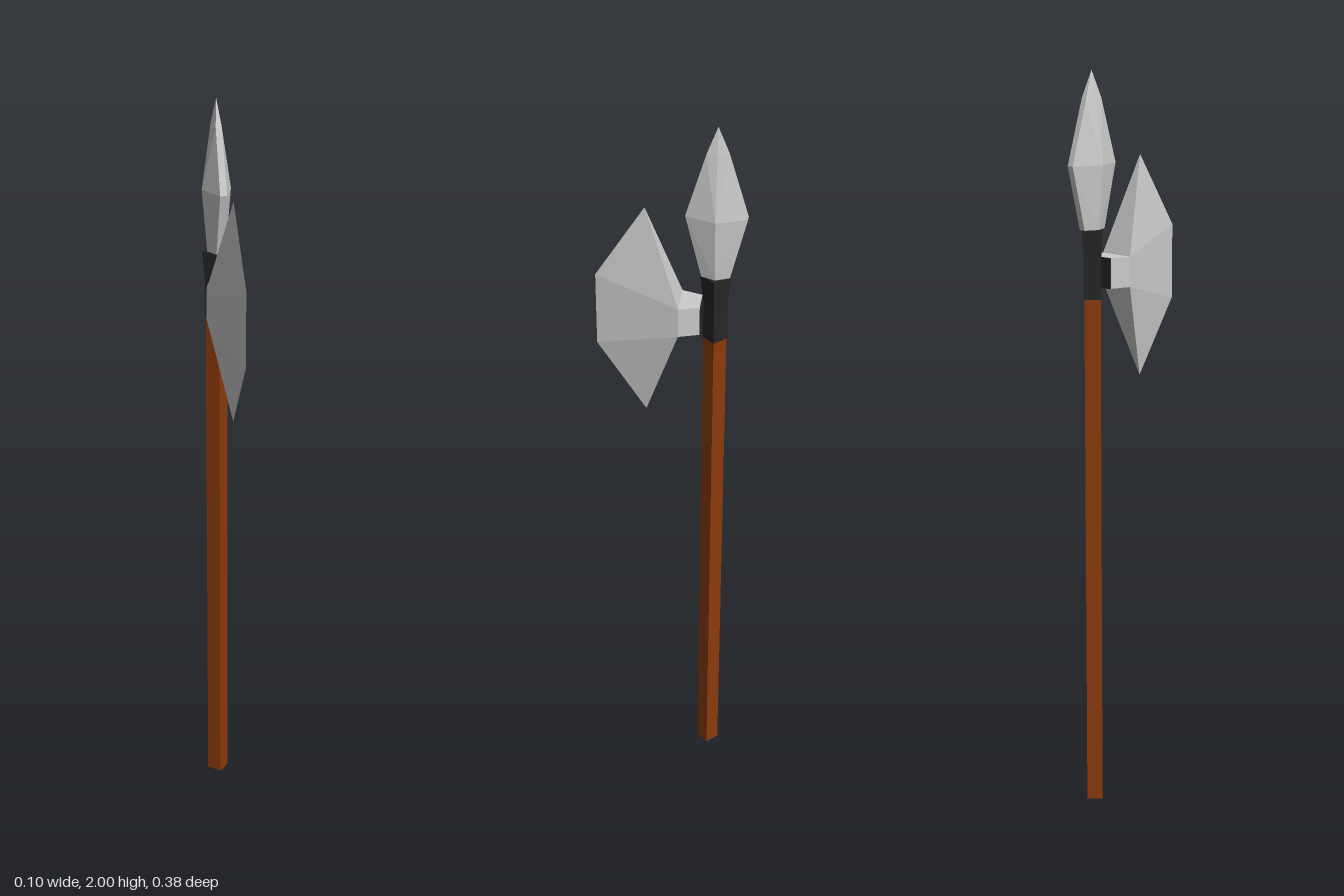
import * as THREE from 'three';
import { ConvexGeometry } from 'three/addons/geometries/ConvexGeometry.js';

const SHAFT_Z = -0.114;
const AXE_Y = 1.484;

const material = (color) => new THREE.MeshStandardMaterial({ color, flatShading: true });

// Six-sided spear cross-section: pointed at the sides, thin flats front and back
const spearRing = (y, halfX, halfZ, flat) => [
  [halfX, y, 0], [flat, y, halfZ], [-flat, y, halfZ],
  [-halfX, y, 0], [-flat, y, -halfZ], [flat, y, -halfZ],
];

// Rectangle facing z, centred on the axe head height
const axeRing = (z, halfX, halfY) => [
  [halfX, halfY, z], [-halfX, halfY, z], [-halfX, -halfY, z], [halfX, -halfY, z],
];

const hull = (points) => new ConvexGeometry(points.map((p) => new THREE.Vector3(...p)));

export function createModel() {
  const model = new THREE.Group();
  model.name = 'poleaxe';
  const wood = material(0x8b3a0c);
  const iron = material(0x262626);
  const steel = material(0xcccccc);

  const add = (name, geometry, mat, y, z) => {
    const mesh = new THREE.Mesh(geometry, mat);
    mesh.name = name;
    mesh.position.set(0, y, z);
    model.add(mesh);
  };

  // Four-sided wooden shaft, corners on the axes
  add('shaft', new THREE.CylinderGeometry(0.03, 0.03, 1.44, 4), wood, 0.72, SHAFT_Z);

  // Dark socket that flares under the spear head
  const socketProfile = [
    [0, 1.42], [0.032, 1.42], [0.032, 1.53], [0.036, 1.57], [0.039, 1.6], [0, 1.6],
  ].map(([r, y]) => new THREE.Vector2(r, y));
  add('socket', new THREE.LatheGeometry(socketProfile, 4), iron, 0, SHAFT_Z);

  // Faceted spear head
  add('spearHead', hull([
    ...spearRing(1.6, 0.025, 0.036, 0.009),
    ...spearRing(1.765, 0.039, 0.077, 0.009),
    ...spearRing(1.93, 0.013, 0.027, 0.008),
    [0, 2, 0],
  ]), steel, 0, SHAFT_Z);

  // Dark plate joining the axe neck to the socket
  add('neckPlate', new THREE.BoxGeometry(0.064, 0.08, 0.006), iron, AXE_Y, -0.081);

  // Neck widening towards the blade
  add('axeNeck', hull([
    ...axeRing(-0.078, 0.032, 0.04), ...axeRing(-0.025, 0.049, 0.04),
  ]), steel, AXE_Y, 0);

  // Wedge blade: broad back, upper and lower points, straight cutting edge
  add('axeBlade', hull([
    ...axeRing(-0.025, 0.049, 0.04),
    [0, 0.294, 0.064], [0, -0.297, 0.064],
    [0, 0.098, 0.191], [0, -0.102, 0.191],
  ]), steel, AXE_Y, 0);

  return model;
}
